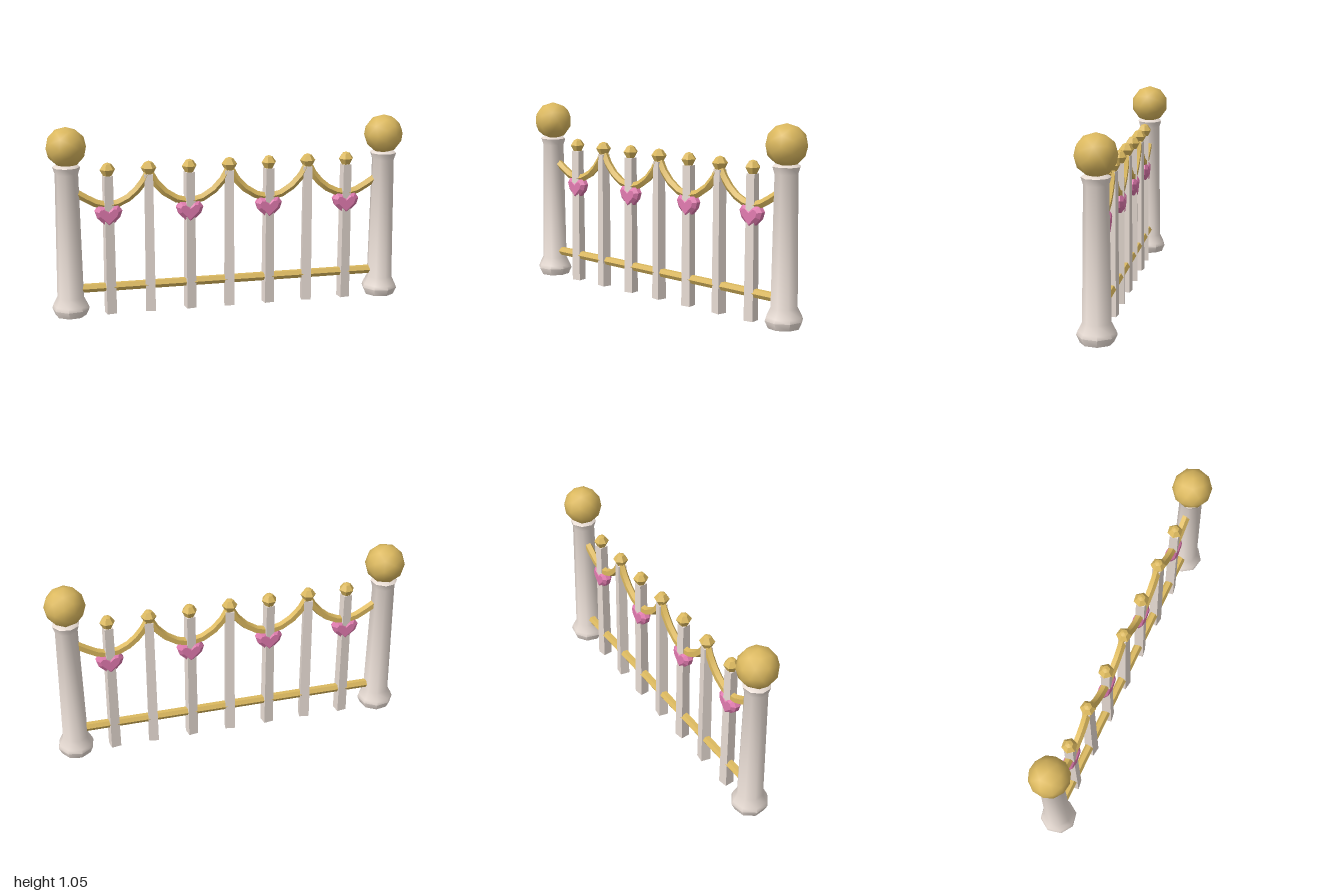
import * as THREE from 'three';
import { toCreasedNormals } from 'three/addons/utils/BufferGeometryUtils.js';

export function createModel() {
  const group = new THREE.Group();
  const stone = new THREE.MeshStandardMaterial({ color: 0xe8dcd4 });
  const gold = new THREE.MeshStandardMaterial({ color: 0xdcb95f });
  const pink = new THREE.MeshStandardMaterial({ color: 0xe27bb0 });

  const add = (name, geometry, material, x = 0, y = 0, turn = 0) => {
    const mesh = new THREE.Mesh(geometry, material);
    mesh.name = name;
    mesh.position.set(x, y, 0);
    mesh.rotation.y = turn;
    group.add(mesh);
    return mesh;
  };

  // End posts with flared foot and collar, topped by faceted balls
  const profile = [
    [0, 0], [0.085, 0.005], [0.103, 0.045], [0.096, 0.065], [0.073, 0.11],
    [0.063, 0.8], [0.075, 0.838], [0.066, 0.846], [0, 0.846],
  ].map(([r, y]) => new THREE.Vector2(r, y));
  const postGeo = toCreasedNormals(new THREE.LatheGeometry(profile, 8), 0.9);
  const ballGeo = new THREE.IcosahedronGeometry(0.11, 1);
  for (const side of [-1, 1]) {
    add('post', postGeo, stone, side * 0.895, 0, side * 0.2);
    add('postBall', ballGeo, gold, side * 0.893, 0.945, side * 0.4);
  }

  // Tapered square pickets, each turned a little, with pointed finials
  const picketGeo = new THREE.CylinderGeometry(0.034, 0.039, 0.78, 4).toNonIndexed();
  picketGeo.rotateY(Math.PI / 4);
  picketGeo.computeVertexNormals();
  const finialProfile = [[0, -0.045], [0.02, -0.038], [0.043, 0.004], [0.022, 0.034], [0, 0.042]]
    .map(([r, y]) => new THREE.Vector2(r, y));
  const finialGeo = toCreasedNormals(new THREE.LatheGeometry(finialProfile, 6), 0.4);
  for (let i = -3; i <= 3; i++) {
    const turn = 0.15 * (i % 2 === 0 ? -1 : 1);
    add('picket', picketGeo, stone, i * 0.225, 0.39, turn);
    add('finial', finialGeo, gold, i * 0.225, 0.81, turn + 0.5);
  }

  // Bottom rail
  const railGeo = new THREE.CylinderGeometry(0.025, 0.025, 1.68, 6).rotateZ(Math.PI / 2);
  add('rail', toCreasedNormals(railGeo, 0.6), gold, 0, 0.152);

  // Four swags of rope hanging between the taller points
  const half = [[0.225, 0.795], [0.185, 0.725], [0.12, 0.66], [0.06, 0.628]];
  for (let i = 0; i < 4; i++) {
    const cx = -0.675 + i * 0.45;
    const left = half.map(([x, y]) => [-x, y]);
    const right = half.slice().reverse();
    // The outermost ends meet the posts lower down
    if (i === 0) left.splice(0, 2, [-0.175, 0.695]);
    if (i === 3) right.splice(2, 2, [0.175, 0.695]);
    const points = [...left, [0, 0.615], ...right]
      .map(([x, y]) => new THREE.Vector3(cx + x, y, 0));
    const curve = new THREE.CatmullRomCurve3(points);
    const tube = new THREE.TubeGeometry(curve, 8, 0.023, 5);
    const swag = add('swag', toCreasedNormals(tube, 0.7), gold);
    swag.material = gold.clone();
    swag.material.side = THREE.DoubleSide;
  }

  // Hearts at the low point of each swag
  const heart = new THREE.Shape();
  heart.moveTo(0, -0.062);
  heart.lineTo(0.054, -0.01);
  heart.lineTo(0.064, 0.02);
  heart.lineTo(0.048, 0.043);
  heart.lineTo(0.022, 0.043);
  heart.lineTo(0, 0.025);
  heart.lineTo(-0.022, 0.043);
  heart.lineTo(-0.048, 0.043);
  heart.lineTo(-0.064, 0.02);
  heart.lineTo(-0.054, -0.01);
  heart.closePath();
  const heartGeo = new THREE.ExtrudeGeometry(heart, {
    depth: 0.026, bevelEnabled: true, bevelThickness: 0.017, bevelSize: 0.02,
    bevelOffset: -0.01, bevelSegments: 1,
  });
  heartGeo.translate(0, 0, -0.013);
  for (let i = 0; i < 4; i++) add('heart', heartGeo, pink, -0.675 + i * 0.45, 0.563);

  return group;
}
